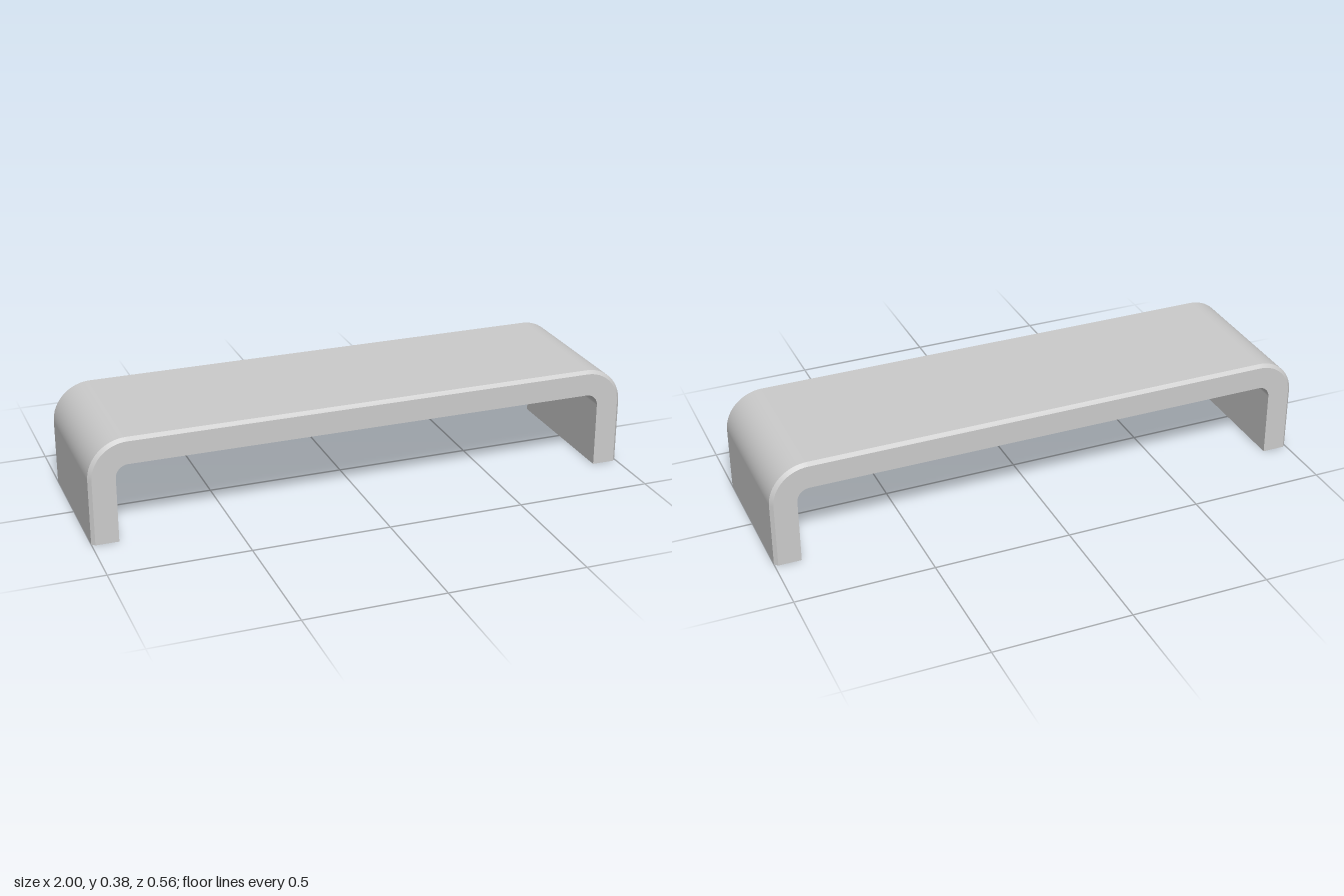
import * as THREE from 'three';

const HALF_WIDTH = 1, HEIGHT = 0.378, HALF_DEPTH = 0.28;
const OUTER_R = 0.14, INNER_R = 0.045, CHAMFER = 0.012, ARC_STEPS = 16;

// Cross-section as (radial, z): inner face, front, chamfer, outer face, chamfer, back
const SECTION = [
  [INNER_R, -HALF_DEPTH], [INNER_R, HALF_DEPTH],
  [OUTER_R - CHAMFER, HALF_DEPTH], [OUTER_R, HALF_DEPTH - CHAMFER],
  [OUTER_R, -HALF_DEPTH + CHAMFER], [OUTER_R - CHAMFER, -HALF_DEPTH],
];

// Stations along the bent plate, from the left foot over the top to the right foot
function makeStations() {
  const cx = HALF_WIDTH - OUTER_R, cy = HEIGHT - OUTER_R;
  const stations = [{ x: cx, y: 0, angle: 0 }];
  for (const side of [0, 1]) {
    for (let i = 0; i <= ARC_STEPS; i++) {
      const angle = (side + i / ARC_STEPS) * Math.PI / 2;
      stations.push({ x: side ? -cx : cx, y: cy, angle });
    }
  }
  stations.push({ x: -cx, y: 0, angle: Math.PI });
  return stations;
}

function bentPlateGeometry() {
  const stations = makeStations();
  const positions = [], normals = [], indices = [];
  const addVertex = (s, [r, z], normal) => {
    positions.push(s.x + r * Math.cos(s.angle), s.y + r * Math.sin(s.angle), z);
    normals.push(...normal);
  };

  // One strip per section edge: smooth along the bend, sharp between strips
  SECTION.forEach((a, e) => {
    const b = SECTION[(e + 1) % SECTION.length];
    const dr = b[0] - a[0], dz = b[1] - a[1], len = Math.hypot(dr, dz);
    const nr = -dz / len, nz = dr / len;
    const base = positions.length / 3;
    stations.forEach((s, i) => {
      const n = [nr * Math.cos(s.angle), nr * Math.sin(s.angle), nz];
      addVertex(s, a, n);
      addVertex(s, b, n);
      if (i === 0) return;
      const k = base + 2 * (i - 1);
      indices.push(k, k + 1, k + 2, k + 1, k + 3, k + 2);
    });
  });

  // Flat undersides of both feet
  [stations[0], stations[stations.length - 1]].forEach((s, end) => {
    const base = positions.length / 3;
    SECTION.forEach((p) => addVertex(s, p, [0, -1, 0]));
    for (let i = 1; i < SECTION.length - 1; i++) {
      if (end) indices.push(base, base + i, base + i + 1);
      else indices.push(base, base + i + 1, base + i);
    }
  });

  const geometry = new THREE.BufferGeometry();
  geometry.setAttribute('position', new THREE.Float32BufferAttribute(positions, 3));
  geometry.setAttribute('normal', new THREE.Float32BufferAttribute(normals, 3));
  geometry.setIndex(indices);
  return geometry;
}

export function createModel() {
  const group = new THREE.Group();
  group.name = 'benchStand';
  const plate = new THREE.Mesh(
    bentPlateGeometry(),
    new THREE.MeshStandardMaterial({ color: 0xcccccc }),
  );
  plate.name = 'bentPlate';
  group.add(plate);
  return group;
}
